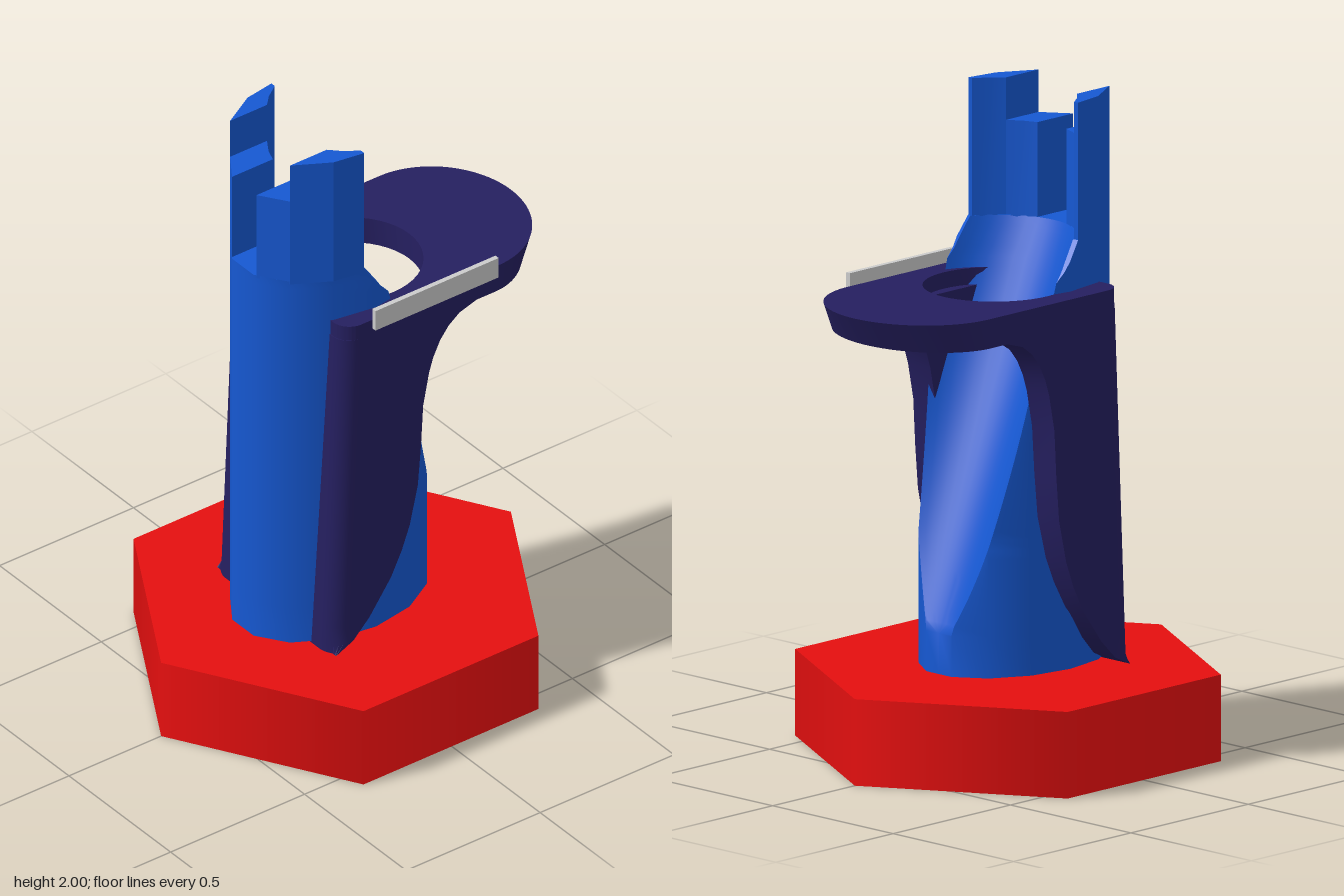
import * as THREE from 'three';
import { toCreasedNormals } from 'three/addons/utils/BufferGeometryUtils.js';

const RED = 0xe50f0f, BLUE = 0x1658d2, NAVY = 0x251f60, GREY = 0xcccccc;
const ZC = 0.012; // z centre of the tower

function addMesh(group, name, geometry, color) {
  const mesh = new THREE.Mesh(geometry, new THREE.MeshStandardMaterial({ color }));
  mesh.name = name;
  group.add(mesh);
  return mesh;
}

// Piecewise linear lookup in [key, value] pairs
function lookup(pairs, k) {
  for (let i = 1; i < pairs.length; i++) {
    const [k0, v0] = pairs[i - 1], [k1, v1] = pairs[i];
    if (k <= k1) return v0 + (v1 - v0) * Math.max(0, (k - k0) / (k1 - k0));
  }
  return pairs[pairs.length - 1][1];
}

// Solid from horizontal sections, each an outer and an inner line of [x, z] points
function loftShell(rows, crease = 0.6) {
  const rings = rows.map(({ y, outer, inner }) =>
    [...outer, ...[...inner].reverse()].map(([x, z]) => new THREE.Vector3(x, y, z)));
  const n = rings[0].length, pos = [];
  const mid = rings[Math.floor(rings.length / 2)];
  const flip = THREE.ShapeUtils.area(mid.map(p => new THREE.Vector2(p.x, p.z))) < 0;
  const tri = (a, b, c) => {
    const area = b.clone().sub(a).cross(c.clone().sub(a)).length();
    if (area < 1e-8) return;
    for (const p of flip ? [a, c, b] : [a, b, c]) pos.push(p.x, p.y, p.z);
  };
  const quad = (a, b, c, d) => { tri(a, b, c); tri(a, c, d); };
  for (let r = 0; r + 1 < rings.length; r++)
    for (let i = 0; i < n; i++) {
      const j = (i + 1) % n;
      quad(rings[r][i], rings[r + 1][i], rings[r + 1][j], rings[r][j]);
    }
  const low = rings[0], top = rings[rings.length - 1];
  for (let i = 0; i + 1 < n / 2; i++) {
    quad(low[i], low[i + 1], low[n - 2 - i], low[n - 1 - i]);
    quad(top[n - 1 - i], top[n - 2 - i], top[i + 1], top[i]);
  }
  const g = new THREE.BufferGeometry();
  g.setAttribute('position', new THREE.Float32BufferAttribute(pos, 3));
  return toCreasedNormals(g, crease);
}

// Oval 14-sided outline of the tower and the leaning round channel cut into it
const STEP = Math.PI / 7, BORE = 0.235;
const corner = t => [-0.04 + 0.328 * Math.cos(t), ZC + 0.235 * Math.sin(t)];
function outline(t) {
  const k = Math.floor(t / STEP - 0.5), f = t / STEP - 0.5 - k;
  const a = corner((k + 0.5) * STEP), b = corner((k + 1.5) * STEP);
  return [a[0] + (b[0] - a[0]) * f, a[1] + (b[1] - a[1]) * f];
}
const boreX = y => 0.025 + 0.415 * (1.58 - y);

function towerSection(y) {
  const cx = boreX(y), maxX = y > 1.48 ? -0.01 - 0.7 * (y - 1.48) : 1;
  const removed = t => {
    const [x, z] = outline(t);
    return x > maxX || Math.hypot(x - cx, z - ZC) < BORE;
  };
  let rim = 0, hi = Math.PI;
  if (removed(0)) {
    for (let i = 0; i < 40; i++) {
      const m = (rim + hi) / 2;
      if (removed(m)) rim = m; else hi = m;
    }
  }
  const outer = [], inner = [];
  const [rx, rz] = outline(rim);
  const phi = Math.atan2(rz - ZC, rx - cx);
  for (let i = 0; i < 16; i++) {
    outer.push(outline(Math.min(Math.max((i - 0.5) * STEP, rim), 2 * Math.PI - rim)));
    const t = phi + (2 * Math.PI - 2 * phi) * i / 15;
    inner.push(rim > 0 ? [cx + BORE * Math.cos(t), ZC + BORE * Math.sin(t)] : [rx, ZC]);
  }
  return { y, outer, inner };
}

// Upright prong on top of the tower between two distances from its middle
function prong(side, zs, height) {
  const backX = [[0, -0.36], [0.052, -0.36], [0.147, -0.296], [0.212, -0.182], [0.235, -0.04]];
  const outer = zs.map(z => [lookup(backX, z), ZC + side * z]);
  const inner = zs.map(z => [
    Math.min(-0.08, boreX(1.58) - Math.sqrt(BORE * BORE - z * z)), ZC + side * z]);
  return loftShell([{ y: 1.57, outer, inner }, { y: height, outer, inner }], 0.3);
}

// Side wall: a leaning J-shaped section with a curved front edge
const wallFront = [[0.27, -0.225], [0.3, -0.16], [0.36, -0.1], [0.47, -0.02], [0.55, 0.02],
  [0.63, 0.05], [0.76, 0.08], [0.9, 0.092], [1.04, 0.1], [1.15, 0.122], [1.2, 0.138],
  [1.25, 0.163], [1.29, 0.195], [1.32, 0.235], [1.34, 0.3], [1.38, 0.3]];
function wallSection(y, front, side) {
  const back = -0.24 + 0.05 * (y - 0.27) / 1.16;
  const f = Math.min(Math.max(y - 1.28, 0), 0.04);
  const zi = 0.15 + Math.sqrt(0.0025 - f * f); // rounds the inner upper corner
  const outer = [[front, 0.293]], inner = [[front, zi]];
  for (let i = 0; i <= 6; i++) {
    const s = Math.sin(i * Math.PI / 12), c = Math.cos(i * Math.PI / 12);
    outer.push([back + 0.06 - 0.06 * s, 0.233 + 0.06 * c]);
    inner.push([back + 0.1 - 0.04 * s, zi - 0.02 + 0.02 * c]);
  }
  outer.push([back, 0.16]);
  inner.push([back + 0.06, 0.15]);
  const place = ([x, z]) => [Math.min(x, front), side * z];
  return { y, outer: outer.map(place), inner: inner.map(place) };
}

// Shelf with a rounded far end, an oval hole and an undercut lip
function shelfGeometry() {
  const s = new THREE.Shape();
  s.moveTo(-0.13, -0.293);
  s.lineTo(0.38, -0.293);
  s.absellipse(0.38, 0, 0.27, 0.293, -Math.PI / 2, Math.PI / 2, false, 0);
  s.lineTo(-0.13, 0.293);
  s.absarc(-0.13, 0.233, 0.06, Math.PI / 2, Math.PI, false);
  s.lineTo(-0.19, -0.233);
  s.absarc(-0.13, -0.233, 0.06, Math.PI, Math.PI * 1.5, false);
  const hole = new THREE.Path();
  hole.absellipse(0.05, 0, 0.22, 0.215, 0, Math.PI * 2, true, 0);
  s.holes.push(hole);
  const g = new THREE.ExtrudeGeometry(s, { depth: 0.09, bevelEnabled: false, curveSegments: 24 });
  g.rotateX(-Math.PI / 2).translate(0, 1.34, 0);
  const p = g.attributes.position;
  for (let i = 0; i < p.count; i++) {
    const x = p.getX(i);
    if (p.getY(i) < 1.38 && x > 0.3) p.setX(i, x - 0.05 * (x - 0.3) / 0.35);
  }
  return toCreasedNormals(g, 0.6);
}

export function createModel() {
  const model = new THREE.Group();
  model.name = 'stand';

  // Hexagonal foot
  const foot = new THREE.CylinderGeometry(0.653, 0.653, 0.265, 6).rotateY(Math.PI / 6);
  addMesh(model, 'hexagonBase', foot.translate(-0.003, 0.1325, 0), RED);

  // Tower with its sloping channel
  const rows = [towerSection(0.275)];
  for (let i = 0; i <= 40; i++) rows.push(towerSection(0.4 + 1.18 * i / 40));
  addMesh(model, 'tower', loftShell(rows), BLUE);

  // Stepped prongs and side walls, one of each per side
  for (const side of [1, -1]) {
    const label = side > 0 ? 'front' : 'back';
    addMesh(model, label + 'LowProng', prong(side, [0.06, 0.1, 0.147], 1.87), BLUE);
    addMesh(model, label + 'TallProng', prong(side, [0.147, 0.18, 0.212, 0.228], 2), BLUE);
    const wall = wallFront.map(([y, x]) => wallSection(y, x, side));
    addMesh(model, label + 'Wall', loftShell(wall), NAVY);
  }

  addMesh(model, 'shelf', shelfGeometry(), NAVY);

  // Plain plate on the shelf edge
  const plate = addMesh(model, 'blankPlate', new THREE.BoxGeometry(0.46, 0.07, 0.016), GREY);
  plate.position.set(0.14, 1.435, 0.301);
  return model;
}
